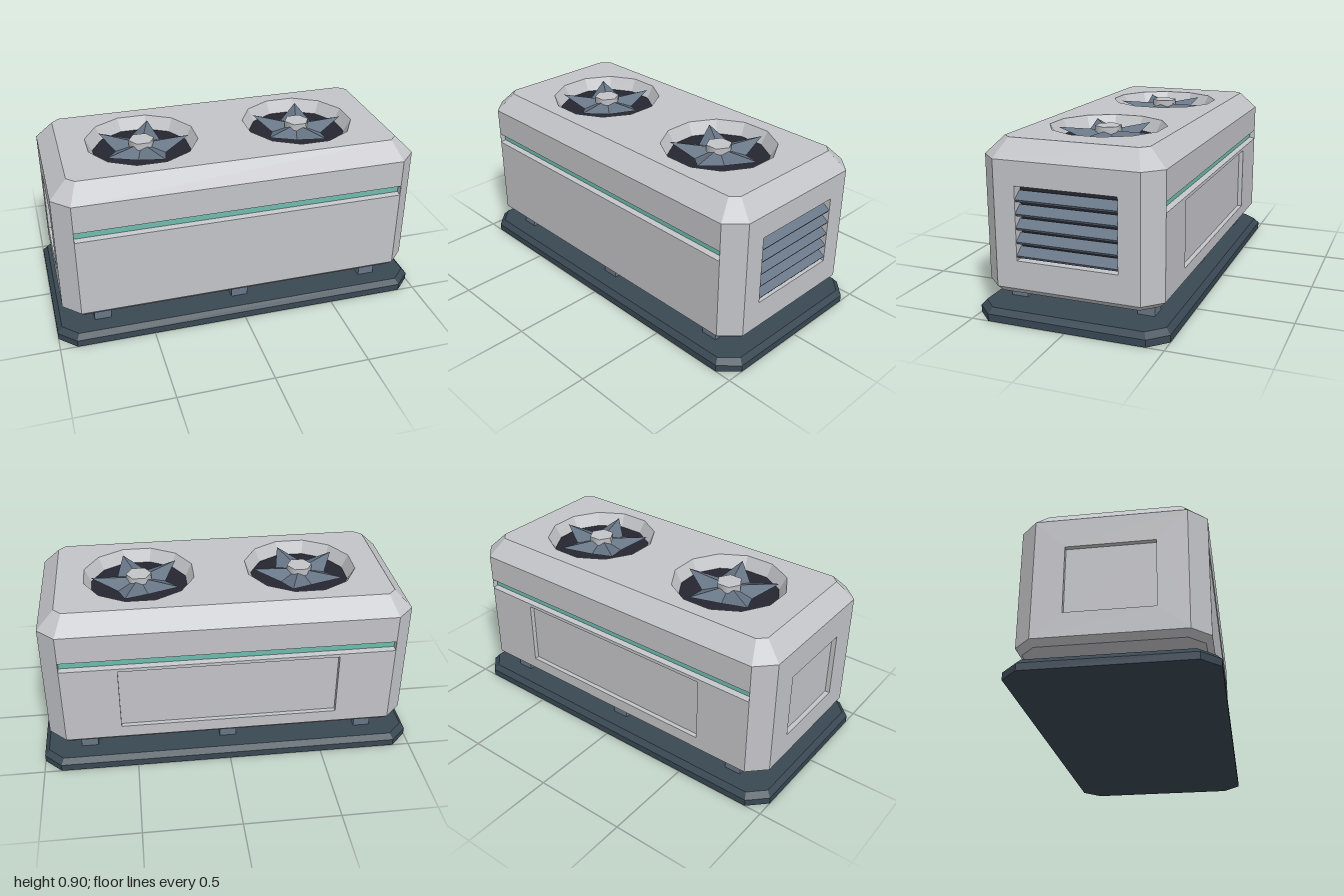
import * as THREE from 'three';

const mat = (name, color, side = THREE.FrontSide) =>
  Object.assign(new THREE.MeshStandardMaterial({ color, side }), { name });

// Outlines, counter-clockwise in the xy plane
const octagon = (w, h, c) => [
  [w - c, -h], [w, -h + c], [w, h - c], [w - c, h],
  [-w + c, h], [-w, h - c], [-w, -h + c], [-w + c, -h]];
const rect = (w, y0, y1) => [[-w, y0], [w, y0], [w, y1], [-w, y1]];
const polygon = (n, r, cx) => Array.from({ length: n }, (_, i) => {
  const a = (i + 0.5) / n * Math.PI * 2;
  return [cx + r * Math.cos(a), r * Math.sin(a)];
});

function flatGeometry(triangles) {
  const g = new THREE.BufferGeometry();
  g.setAttribute('position', new THREE.Float32BufferAttribute(triangles.flat(2), 3));
  g.computeVertexNormals();
  return g;
}

// Faceted walls between successive [outline, z] rings
function loft(rings, keep = () => true) {
  const tris = [];
  for (let k = 0; k < rings.length - 1; k++) {
    const [a, za] = rings[k], [b, zb] = rings[k + 1];
    a.forEach((p, i) => {
      if (!keep(k, i)) return;
      const j = (i + 1) % a.length;
      const a0 = [...p, za], a1 = [...a[j], za], b0 = [...b[i], zb], b1 = [...b[j], zb];
      tris.push([a0, a1, b1], [a0, b1, b0]);
    });
  }
  return flatGeometry(tris);
}

function plate(outline, holes = []) {
  const toVec = o => o.map(p => new THREE.Vector2(...p));
  const s = new THREE.Shape(toVec(outline));
  s.holes = holes.map(h => new THREE.Path(toVec(h)));
  return new THREE.ShapeGeometry(s);
}

function add(parent, name, geometry, material, z = 0) {
  const m = new THREE.Mesh(geometry, material);
  m.name = name;
  m.position.z = z;
  parent.add(m);
  return m;
}

function frame(parent, name, x, y, z, rx, ry) {
  const g = new THREE.Group();
  g.name = name;
  g.position.set(x, y, z);
  g.rotation.set(rx, ry, 0);
  parent.add(g);
  return g;
}

export function createModel() {
  const casing = mat('casing grey', 0xc3c4c8);
  const steel = mat('blue grey steel', 0x687686);
  const blade = mat('fan blade steel', 0x687686, THREE.DoubleSide);
  const slab = mat('dark slate', 0x394853);
  const teal = mat('teal', 0x6fbbae);
  const dark = mat('dark interior', 0x262631);

  const model = new THREE.Group();
  model.name = 'coolingUnit';
  const UP = -Math.PI / 2;

  // Bevelled base slab
  const base = frame(model, 'base', 0, 0, 0, UP, 0);
  const baseLow = octagon(1, 0.5, 0.09), baseTop = octagon(0.975, 0.475, 0.08);
  add(base, 'baseSides', loft([[baseLow, 0], [baseLow, 0.037], [baseTop, 0.065]]), slab);
  add(base, 'baseTop', plate(baseTop), slab, 0.065);
  add(base, 'baseBottom', plate(baseLow).rotateX(Math.PI), slab);

  // Six feet
  for (const x of [-0.755, 0, 0.755]) for (const z of [-0.34, 0.34]) {
    const foot = add(model, 'foot', new THREE.BoxGeometry(0.09, 0.084, 0.088), steel, z);
    foot.position.set(x, 0.106, z);
  }

  // Casing shell: bevels and corner chamfers
  const shell = frame(model, 'casing', 0, 0, 0, UP, 0);
  const mid = octagon(0.96, 0.46, 0.09);
  const low = octagon(0.93, 0.43, 0.075), top = octagon(0.87, 0.37, 0.04);
  add(shell, 'casingBevels',
    loft([[low, 0.145], [mid, 0.175], [mid, 0.81], [top, 0.9]], (k, i) => k !== 1 || i % 2 === 0), casing);
  add(shell, 'casingBottom', plate(low).rotateX(Math.PI), casing, 0.145);

  // Recess cut into a face: walls plus floor
  const recess = (parent, name, outer, inner, depth, floorMat) => {
    add(parent, name + 'Walls', loft([[outer, 0], [inner, -depth]]), casing);
    add(parent, name + 'Floor', plate(inner), floorMat, -depth);
  };

  // Long faces with stripe groove; the back also has an access panel
  const groove = rect(0.869, 0.608, 0.662), grooveFloor = rect(0.869, 0.614, 0.655);
  const access = rect(0.575, 0.24, 0.59);
  for (const back of [false, true]) {
    const face = frame(model, back ? 'backFace' : 'frontFace', 0, 0, back ? -0.46 : 0.46, 0, back ? Math.PI : 0);
    add(face, 'facePanel', plate(rect(0.87, 0.175, 0.81), back ? [groove, access] : [groove]), casing);
    recess(face, 'stripe', groove, grooveFloor, 0.03, teal);
    if (back) recess(face, 'accessPanel', access, access, 0.025, casing);
  }

  // Right end with louvred vent
  const vent = rect(0.26, 0.318, 0.688);
  const right = frame(model, 'rightFace', 0.96, 0, 0, 0, Math.PI / 2);
  add(right, 'facePanel', plate(rect(0.37, 0.175, 0.81), [vent]), casing);
  recess(right, 'vent', vent, vent, 0.06, dark);
  for (let i = 0; i < 5; i++) {
    const slat = add(right, 'louvre', new THREE.BoxGeometry(0.52, 0.016, 0.061), steel, -0.03);
    slat.position.y = 0.633 - i * 0.0695;
    slat.rotation.x = 0.61;
  }

  // Left end with plain hatch
  const hatch = rect(0.22, 0.3, 0.655);
  const left = frame(model, 'leftFace', -0.96, 0, 0, 0, -Math.PI / 2);
  add(left, 'facePanel', plate(rect(0.37, 0.175, 0.81), [hatch]), casing);
  recess(left, 'hatch', hatch, hatch, 0.025, casing);

  // Top with two fan wells
  const lid = frame(model, 'topFace', 0, 0.9, 0, UP, 0);
  const centres = [-0.435, 0.435];
  add(lid, 'topPanel', plate(top, centres.map(x => polygon(12, 0.3, x))), casing);

  // Star-shaped fan: raised tips, low notches
  const star = [];
  const rim = i => {
    const a = i * Math.PI / 5, r = i % 2 ? 0.14 : 0.255;
    return [r * Math.cos(a), r * Math.sin(a), i % 2 ? -0.055 : -0.012];
  };
  for (let i = 0; i < 10; i++) star.push([[0, 0, -0.025], rim(i), rim(i + 1)]);

  for (const x of centres) {
    recess(lid, 'fanWell', polygon(12, 0.3, x), polygon(12, 0.264, x), 0.068, dark);
    const fan = frame(lid, 'fan', x, 0, 0, 0, 0);
    add(fan, 'fanBlades', flatGeometry(star), blade);
    add(fan, 'fanHub',
      new THREE.CylinderGeometry(0.068, 0.068, 0.06, 6, 1, false, Math.PI / 2).rotateX(Math.PI / 2), casing, -0.03);
  }
  return model;
}
